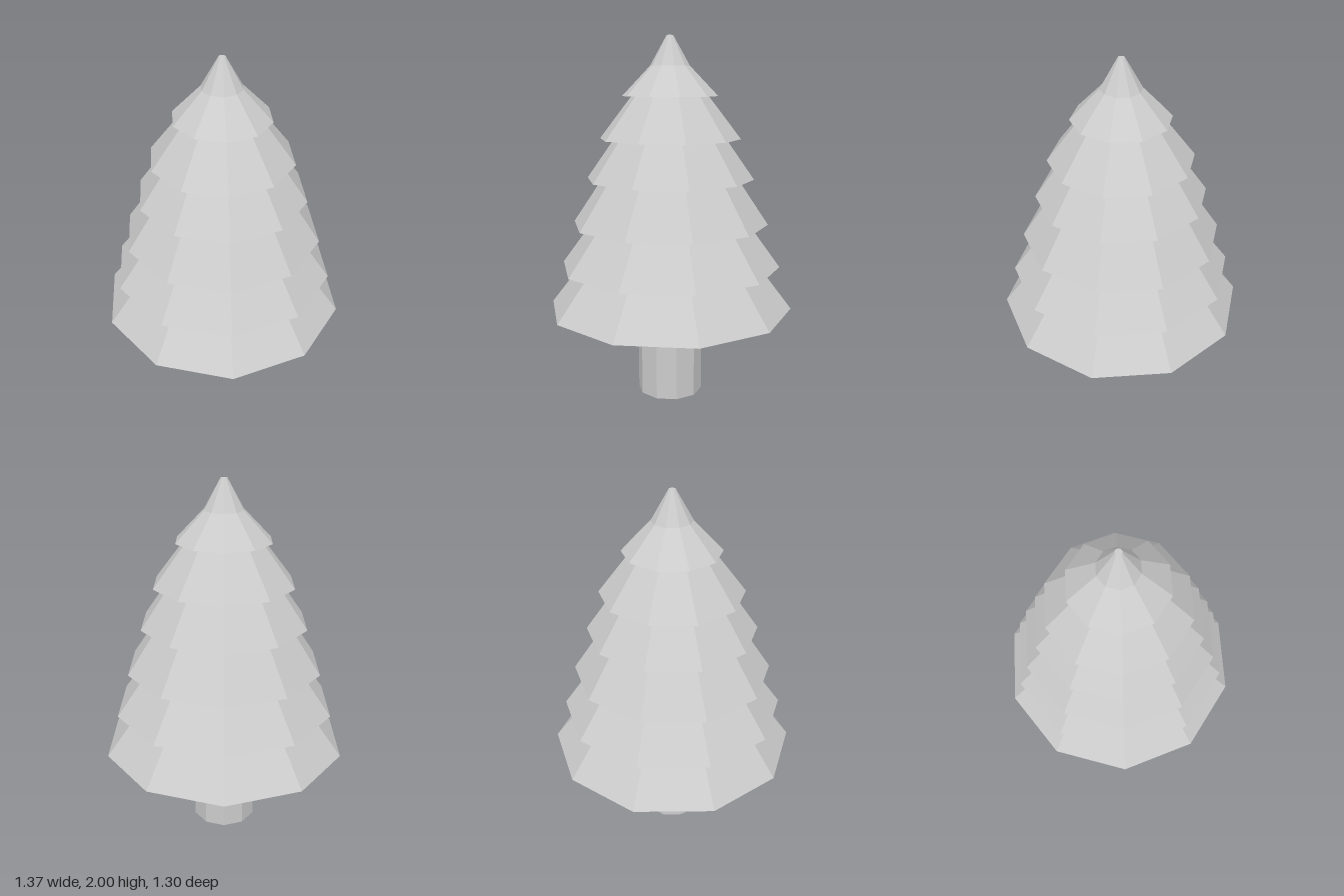
import * as THREE from 'three';

const SIDES = 10;
const START = Math.PI / SIDES; // puts a corner on the +x and -x axes

export function createModel() {
  const tree = new THREE.Group();
  tree.name = 'pineTree';

  // Trunk: open ten-sided tube reaching up into the foliage
  const trunk = new THREE.Mesh(
    new THREE.CylinderGeometry(0.182, 0.182, 0.67, SIDES, 1, true, START),
    new THREE.MeshStandardMaterial({ color: 0xcccccc, flatShading: true, side: THREE.DoubleSide })
  );
  trunk.name = 'trunk';
  trunk.position.y = 0.335;
  tree.add(trunk);

  // Tiers of branches: [rim radius, rim height, radius where the tier meets the next one]
  const tiers = [
    [0.685, 0.5, 0.47],
    [0.615, 0.74, 0.41],
    [0.545, 0.98, 0.35],
    [0.463, 1.23, 0.28],
    [0.388, 1.45, 0.18],
    [0.262, 1.68, 0.108],
  ];
  const lift = 0.04; // how far each underside rises inward
  const profile = [new THREE.Vector2(0, 0.73)]; // hollowed underside
  tiers.forEach(([rim, y, neck], i) => {
    const neckY = i < tiers.length - 1 ? tiers[i + 1][1] + lift : 1.84;
    profile.push(new THREE.Vector2(rim, y), new THREE.Vector2(neck, neckY));
  });
  // Blunt tip
  profile.push(new THREE.Vector2(0.018, 2), new THREE.Vector2(0, 2));

  const foliage = new THREE.Mesh(
    new THREE.LatheGeometry(profile, SIDES, START),
    new THREE.MeshStandardMaterial({ color: 0xcccccc, flatShading: true })
  );
  foliage.name = 'foliage';
  tree.add(foliage);

  return tree;
}
